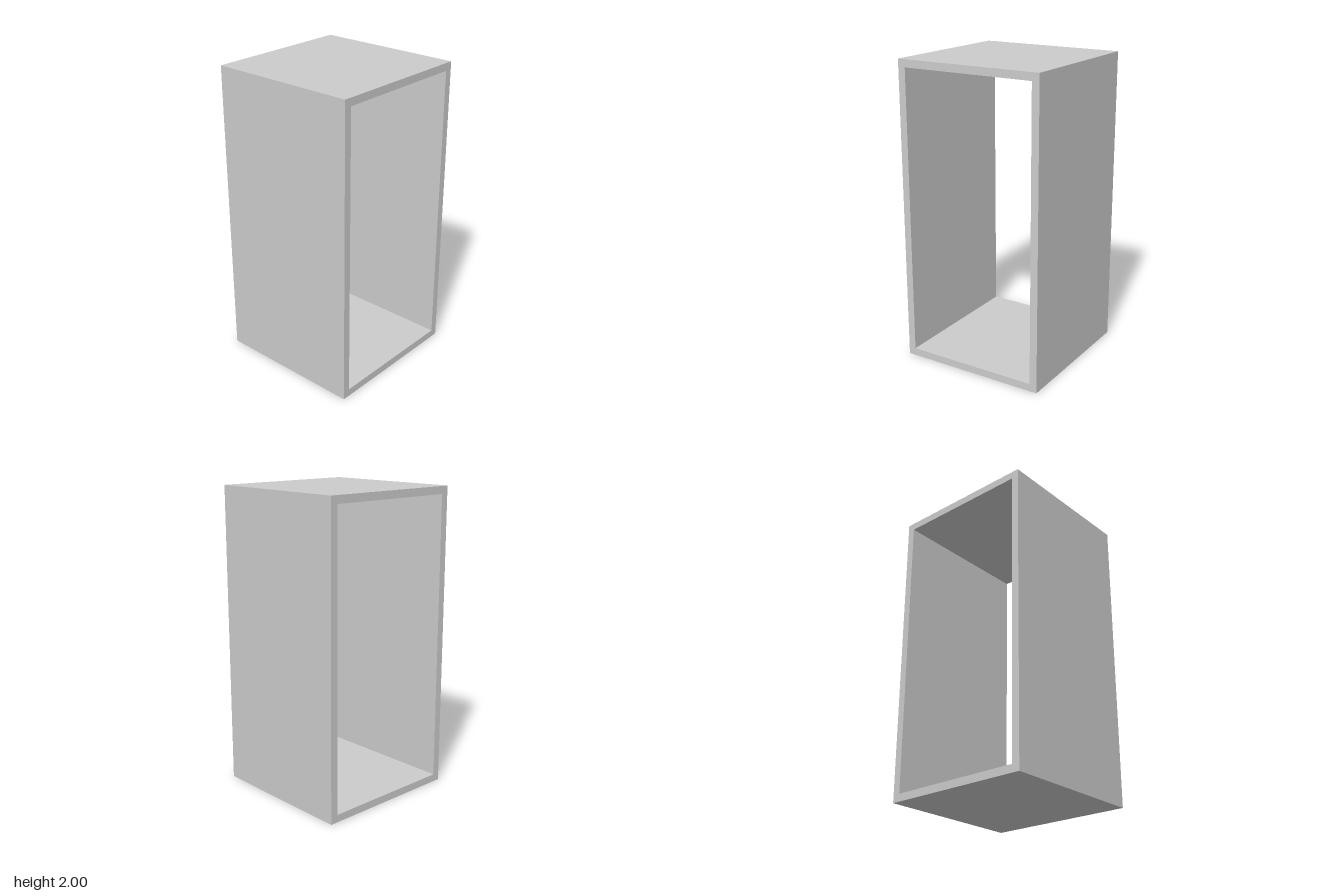
import * as THREE from 'three';

const WIDTH = 1, HEIGHT = 2, DEPTH = 1, WALL = 0.05;

// Rectangle outline centred on x = 0, inset evenly from the outer edge
function rectangle(path, inset) {
  const x = WIDTH / 2 - inset, top = HEIGHT - inset;
  path.moveTo(-x, inset);
  path.lineTo(x, inset);
  path.lineTo(x, top);
  path.lineTo(-x, top);
  path.closePath();
  return path;
}

export function createModel() {
  const group = new THREE.Group();
  group.name = 'openFrame';

  // Rectangular tube, open at front and back
  const outline = rectangle(new THREE.Shape(), 0);
  outline.holes.push(rectangle(new THREE.Path(), WALL));
  const geometry = new THREE.ExtrudeGeometry(outline, { depth: DEPTH, bevelEnabled: false });
  geometry.translate(0, 0, -DEPTH / 2);

  const frame = new THREE.Mesh(geometry, new THREE.MeshStandardMaterial({ color: 0xcccccc }));
  frame.name = 'frame';
  group.add(frame);
  return group;
}
